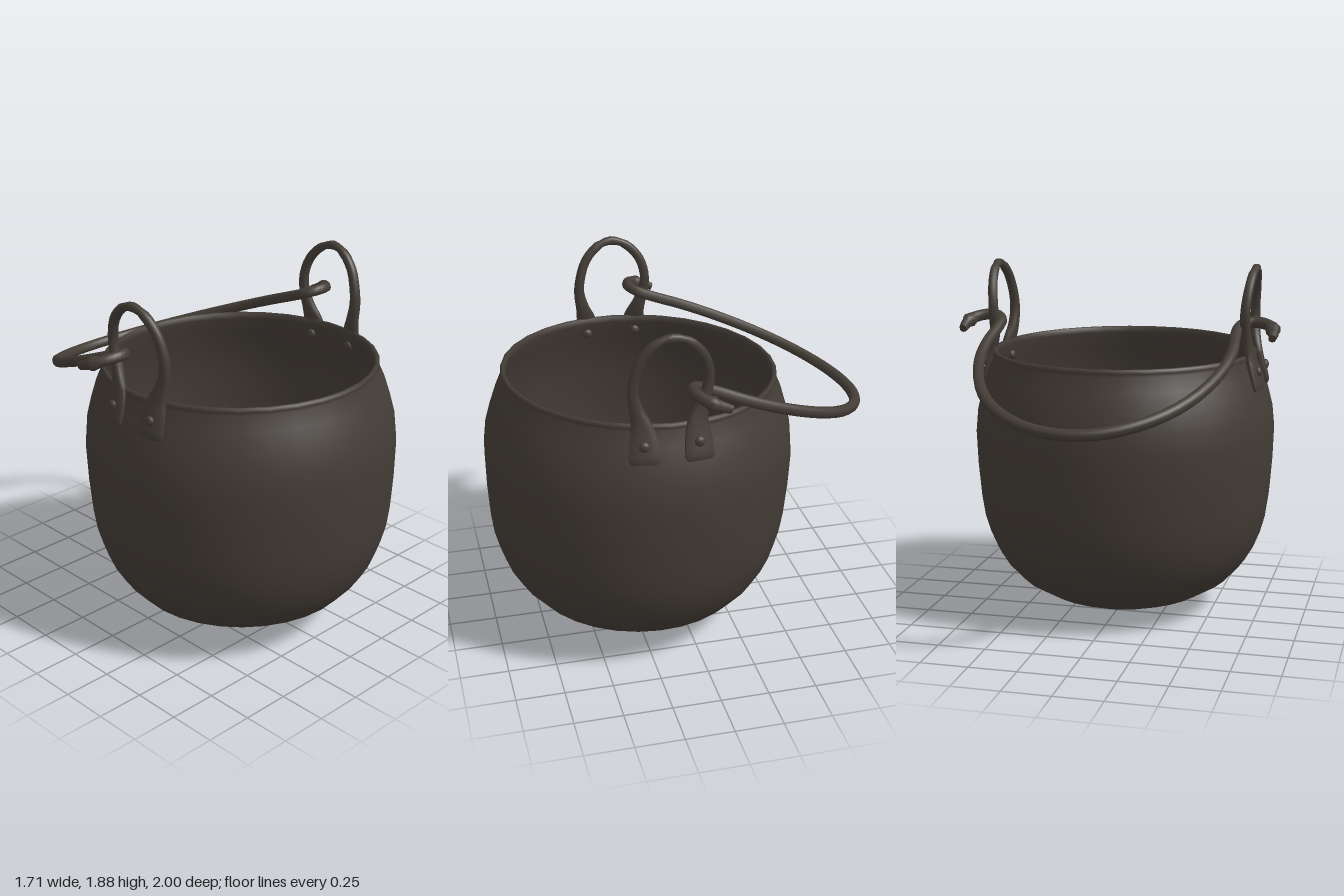
import * as THREE from 'three';
import { toCreasedNormals } from 'three/addons/utils/BufferGeometryUtils.js';

const POT_Z = 0.19;
const V = (x, y, z) => new THREE.Vector3(x, y, z);

// Sweep a rounded section of changing width and thickness along a path.
function sweep(points, sizes, facing, steps, sides) {
  const path = new THREE.CatmullRomCurve3(points);
  const size = new THREE.CatmullRomCurve3(sizes.map(([w, t]) => V(w, t, 0)));
  const pos = [], index = [];
  const round = (v) => Math.sign(v) * Math.pow(Math.abs(v), 0.8);
  for (let i = -1; i <= steps + 1; i++) {
    const u = THREE.MathUtils.clamp(i / steps, 0, 1);
    const p = path.getPoint(u), s = size.getPoint(u), tan = path.getTangent(u);
    const b = facing(p).addScaledVector(tan, -facing(p).dot(tan)).normalize();
    const a = b.clone().cross(tan);
    const k = i < 0 || i > steps ? 0 : 1; // closed ends
    for (let j = 0; j < sides; j++) {
      const ang = ((j + 0.5) / sides) * Math.PI * 2;
      const q = p.clone()
        .addScaledVector(a, k * s.x * round(Math.cos(ang)))
        .addScaledVector(b, k * s.y * round(Math.sin(ang)));
      pos.push(q.x, q.y, q.z);
    }
  }
  for (let i = 0; i < steps + 2; i++) {
    for (let j = 0; j < sides; j++) {
      const n = (j + 1) % sides, r0 = i * sides, r1 = r0 + sides;
      index.push(r0 + j, r0 + n, r1 + j, r0 + n, r1 + n, r1 + j);
    }
  }
  const g = new THREE.BufferGeometry();
  g.setAttribute('position', new THREE.Float32BufferAttribute(pos, 3));
  g.setIndex(index);
  return toCreasedNormals(g, 0.9);
}

export function createModel() {
  const model = new THREE.Group();
  model.name = 'cookingPot';
  const potIron = new THREE.MeshStandardMaterial({ color: 0x433c36 });
  potIron.name = 'potIron';
  const handleIron = new THREE.MeshStandardMaterial({ color: 0x443d36 });
  handleIron.name = 'handleIron';
  const add = (geo, mat, name) => {
    const m = new THREE.Mesh(geo, mat);
    m.name = name;
    model.add(m);
    return m;
  };

  // Pot: outside wall, rolled lip, then inside wall down to the floor
  const profile = [
    [0, 0.004], [0.16, 0.012], [0.3, 0.042], [0.45, 0.1], [0.58, 0.18], [0.665, 0.275],
    [0.71, 0.35], [0.747, 0.44], [0.772, 0.53], [0.788, 0.64], [0.802, 0.82], [0.808, 1.0],
    [0.796, 1.12], [0.77, 1.22], [0.738, 1.32], [0.705, 1.395], [0.711, 1.412], [0.709, 1.428],
    [0.698, 1.434], [0.686, 1.428], [0.684, 1.4], [0.71, 1.32], [0.742, 1.22], [0.776, 1.05],
    [0.774, 0.8], [0.756, 0.6], [0.714, 0.44], [0.635, 0.3], [0.54, 0.205], [0.42, 0.13],
    [0.28, 0.07], [0, 0.035],
  ].map(([r, y]) => new THREE.Vector2(r, y));
  const potGeo = new THREE.LatheGeometry(profile, 32);
  potGeo.translate(0, -1.1, 0);
  const pot = add(potGeo, potIron, 'pot');
  pot.position.set(0, 1.1, POT_Z);
  pot.rotation.x = -0.025; // leans back a little

  // Looped ears with flattened, riveted feet
  const ear = [
    [0.747, 1.253, 0.325], [0.743, 1.275, 0.324], [0.724, 1.34, 0.322], [0.7, 1.42, 0.325],
    [0.682, 1.5, 0.345], [0.676, 1.59, 0.362], [0.678, 1.67, 0.354], [0.688, 1.77, 0.318],
    [0.698, 1.842, 0.25], [0.704, 1.866, 0.175], [0.698, 1.84, 0.095], [0.688, 1.765, 0.025],
    [0.678, 1.67, -0.004], [0.676, 1.59, 0.002], [0.682, 1.5, 0.03], [0.7, 1.42, 0.052],
    [0.724, 1.335, 0.054], [0.743, 1.268, 0.052], [0.747, 1.247, 0.052],
  ];
  const half = [
    [0.064, 0.013], [0.076, 0.018], [0.072, 0.02], [0.056, 0.023], [0.036, 0.026],
    [0.027, 0.026], [0.025, 0.025], [0.024, 0.024], [0.023, 0.023],
  ];
  const earSizes = [...half, [0.023, 0.023], ...half.slice().reverse()];
  const rivetGeo = new THREE.SphereGeometry(0.027, 12, 8);
  for (const s of [1, -1]) {
    const side = s > 0 ? 'left' : 'right';
    const facing = (p) => V(s, 0, (p.z - POT_Z) * 1.2).normalize();
    const pts = ear.map(([x, y, z]) => V(s * x, y, z));
    add(sweep(pts, earSizes, facing, 54, 12), handleIron, side + 'Ear');
    for (const z of [0.322, 0.054]) {
      for (const [x, place] of [[0.741, 'Outer'], [0.684, 'Inner']]) {
        const rivet = add(rivetGeo, handleIron, side + place + 'Rivet');
        rivet.position.set(s * x, 1.342, z);
        rivet.scale.set(0.7, 1, 1);
      }
    }
  }

  // Bail handle hooked outward through both ears, sloping down to the back
  const halfBail = [
    [0.826, -0.075], [0.824, -0.01], [0.8, 0.045], [0.745, 0.078], [0.69, 0.077], [0.645, 0.035],
    [0.637, -0.05], [0.648, -0.2], [0.628, -0.38], [0.55, -0.6], [0.425, -0.78], [0.25, -0.912],
    [0.08, -0.968],
  ];
  const onPlane = (s) => ([x, z]) => V(s * x, 1.6 + 0.395 * (z - 0.09), z);
  const bail = [...halfBail.map(onPlane(1)), ...halfBail.slice().reverse().map(onPlane(-1))];
  const bailSizes = bail.map((p, i) => {
    const tip = i === 0 || i === bail.length - 1;
    return tip ? [0.019, 0.021] : [0.028, 0.028];
  });
  add(sweep(bail, bailSizes, () => V(0, 0.93, -0.367), 75, 10), handleIron, 'bailHandle');

  return model;
}
